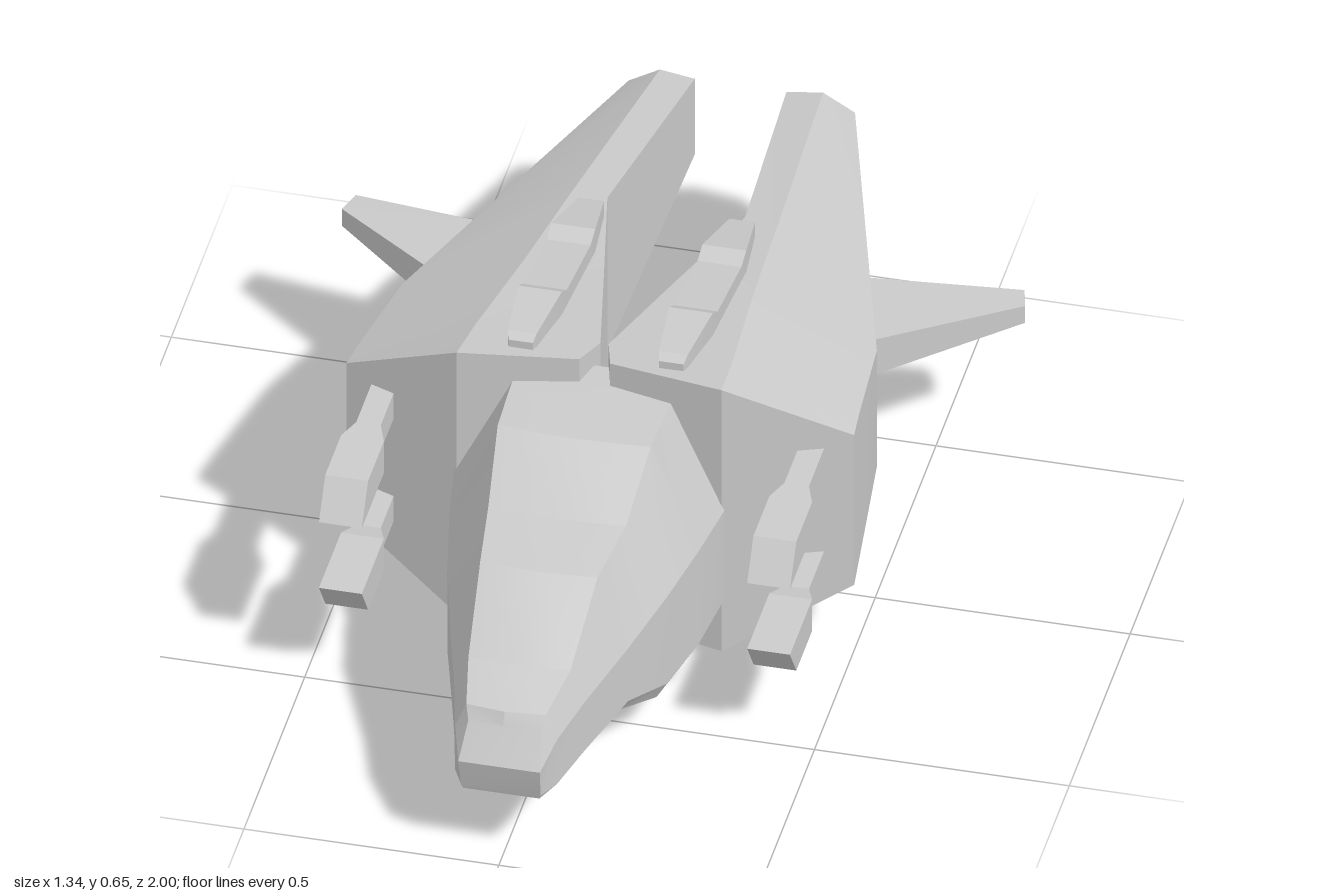
import * as THREE from 'three';
import { toCreasedNormals } from 'three/addons/utils/BufferGeometryUtils.js';

const MID = 0.335; // height of the hull's horizontal symmetry plane
const material = new THREE.MeshStandardMaterial({ color: 0xcccccc });

// Closed loft through rings of [x, y, z]; point i of a ring faces point n-1-i across it.
// sx and sy mirror the part sideways and about the middle plane.
function loft(name, rings, sx = 1, sy = 1) {
  const pts = rings.map(r => r.map(([x, y, z]) =>
    new THREE.Vector3(x * sx, MID + (y - MID) * sy, z)));
  const n = pts[0].length, tris = [];
  const quad = (a, b, c, d) => tris.push([a, b, c], [a, c, d]);
  for (let k = 0; k < pts.length - 1; k++)
    for (let i = 0; i < n; i++) {
      const j = (i + 1) % n;
      quad(pts[k][i], pts[k][j], pts[k + 1][j], pts[k + 1][i]);
    }
  const first = pts[0], last = pts[pts.length - 1];
  for (let i = 0; i < n / 2 - 1; i++) {
    quad(first[i], first[n - 1 - i], first[n - 2 - i], first[i + 1]);
    quad(last[i], last[i + 1], last[n - 2 - i], last[n - 1 - i]);
  }
  // turn every face outward, using the sign of the enclosed volume
  const cross = new THREE.Vector3();
  let volume = 0;
  for (const [a, b, c] of tris) volume += a.dot(cross.crossVectors(b, c));
  const out = [], e = new THREE.Vector3();
  for (const [a, b, c] of tris) {
    cross.subVectors(b, a).cross(e.subVectors(c, a));
    if (cross.length() < 1e-9) continue;
    for (const p of volume > 0 ? [a, b, c] : [a, c, b]) out.push(p.x, p.y, p.z);
  }
  const geo = new THREE.BufferGeometry();
  geo.setAttribute('position', new THREE.Float32BufferAttribute(out, 3));
  const mesh = new THREE.Mesh(toCreasedNormals(geo, 0.25), material);
  mesh.name = name;
  return mesh;
}

// Rectangular ring across z
const box = (x, half, y0, y1, z0, z1 = z0) =>
  [[x - half, y0, z0], [x + half, y0, z0], [x + half, y1, z1], [x - half, y1, z1]];

// Nose pod: half profiles mirrored into full rings
function nose() {
  // z, top y, top x, middle x, middle y, low y, bottom x, bottom y
  const stations = [
    [0.15, 0.58, 0.155, 0.265, 0.36, 0.16, 0.25, 0.14],
    [0.26, 0.58, 0.155, 0.265, 0.36, 0.15, 0.25, 0.13],
    [0.38, 0.58, 0.15, 0.245, 0.35, 0.13, 0.22, 0.095],
    [0.52, 0.49, 0.135, 0.215, 0.335, 0.13, 0.195, 0.095],
    [0.67, 0.473, 0.115, 0.175, 0.315, 0.19, 0.155, 0.165],
    [0.83, 0.365, 0.1, 0.128, 0.295, 0.18, 0.115, 0.165],
    [0.94, 0.335, 0.078, 0.1, 0.28, 0.175, 0.085, 0.165]
  ];
  const halves = stations.map(([z, ty, tx, mx, my, ly, bx, by]) =>
    [[0, ty + 0.003, z + 0.012], [tx, ty, z], [mx, my, z], [mx, ly, z], [bx, by, z]]);
  // blunt tip, pushed forward at its middle
  halves.push([[0, 0.312, 0.965], [0.07, 0.31, 0.957], [0.08, 0.24, 0.998],
    [0.078, 0.175, 0.983], [0.075, 0.165, 0.98]]);
  return loft('nosePod', halves.map(h =>
    [...h, ...h.slice().reverse().map(([x, y, z]) => [-x, y, z])]));
}

// Side hull: each station gives [x, half height, z] for inner wall, ridge and outer wall
function hull(sx) {
  const stations = [
    [[0.03, 0.3, 0.21], [0.26, 0.31, 0.257], [0.498, 0.178, 0.165]],
    [[0.008, 0.285, 0.13], [0.252, 0.289, 0.13], [0.49, 0.173, 0.09]],
    [[0.07, 0.235, -0.16], [0.225, 0.239, -0.16], [0.465, 0.138, -0.16]],
    [[0.135, 0.182, -0.46], [0.203, 0.188, -0.46], [0.378, 0.11, -0.46]],
    [[0.09, 0.09, -0.99], [0.16, 0.095, -0.997], [0.222, 0.056, -1]]
  ];
  const rings = stations.map(s => [
    ...s.map(([x, h, z]) => [x, MID - h, z]),
    ...s.slice().reverse().map(([x, h, z]) => [x, MID + h, z])
  ]);
  return loft('sideHull', rings, sx);
}

// Tapered fin lofted outward from inside the hull
function fin(sx) {
  const ring = (x, zFront, hFront, zBack, hBack) => [
    [x, MID - hFront, zFront], [x, MID - hBack, zBack],
    [x, MID + hBack, zBack], [x, MID + hFront, zFront]];
  const tip = ring(0.67, -0.52, 0.02, -0.575, 0.016);
  tip[1][0] = tip[2][0] = 0.656;
  return loft('sideFin', [ring(0.3, -0.222, 0.052, -0.52, 0.03), tip], sx);
}

// Gun with a slim mount, a wider body and a slanted muzzle
const gun = (sx, sy) => loft('gun', [
  box(0.42, 0.024, 0.427, 0.487, 0.1),
  box(0.42, 0.024, 0.427, 0.487, 0.31),
  box(0.42, 0.042, 0.413, 0.488, 0.36),
  box(0.42, 0.042, 0.413, 0.488, 0.542, 0.49)
], sx, sy);

// Long blister on the upper and lower hull faces: [z, half width, top y]
const blister = (sx, sy) => loft('hullBlister', [
  [0.2, 0.024, 0.65], [0.185, 0.028, 0.662], [0.04, 0.043, 0.66], [0, 0.043, 0.635],
  [-0.195, 0.043, 0.6], [-0.235, 0.043, 0.61], [-0.378, 0.025, 0.568]
].map(([z, half, top]) => box(0.148, half, 0.5 + z * 0.17, top, z, z - (z < -0.3 ? 0.004 : 0))), sx, sy);

export function createModel() {
  const model = new THREE.Group();
  model.name = 'spacecraft';
  model.add(nose());
  for (const sx of [1, -1]) {
    model.add(hull(sx), fin(sx));
    for (const sy of [1, -1]) model.add(gun(sx, sy), blister(sx, sy));
  }
  return model;
}
